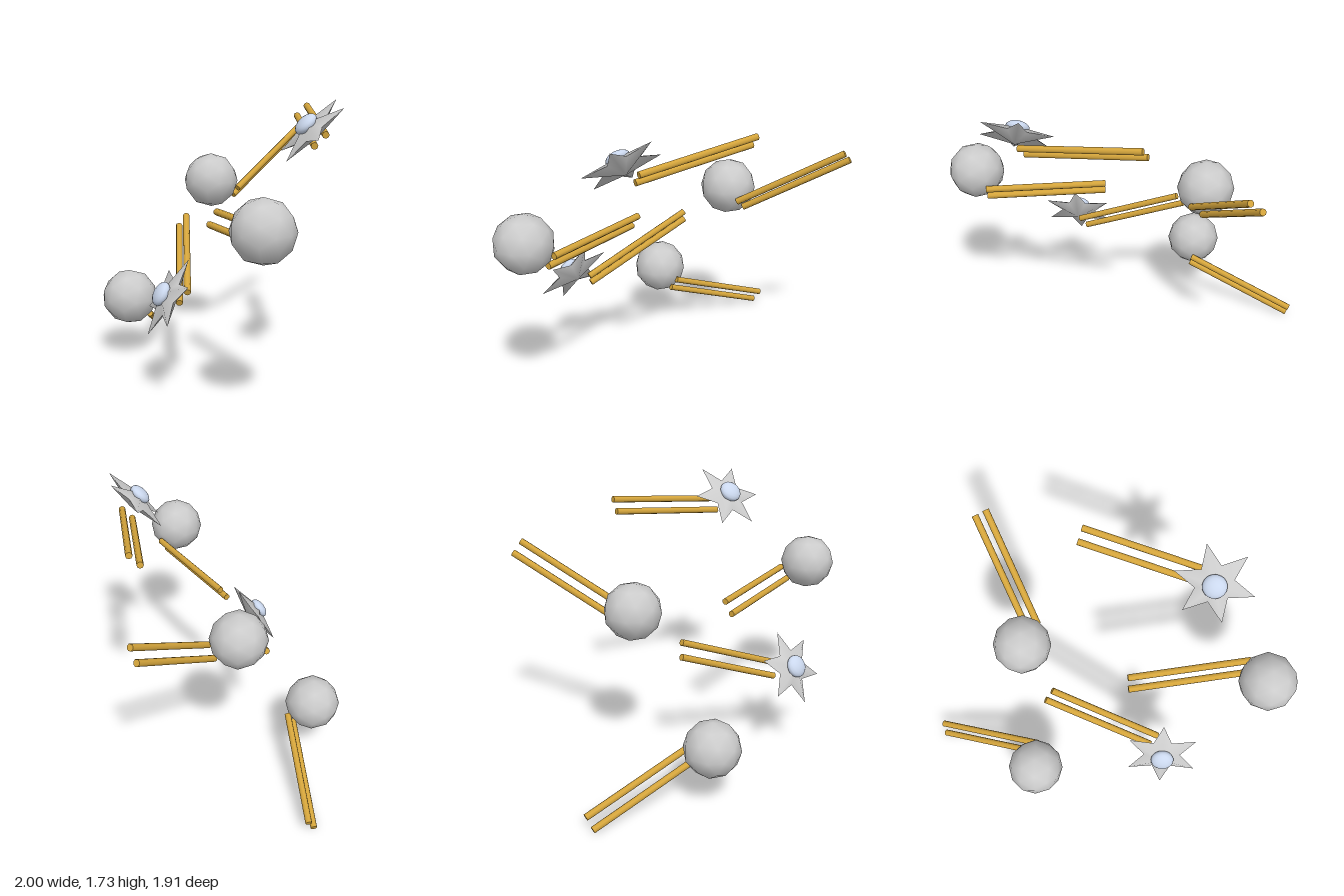
import * as THREE from 'three';

const grey = new THREE.MeshStandardMaterial({ color: 0xcccccc });
const gold = new THREE.MeshStandardMaterial({ color: 0xd6a63c });
const blue = new THREE.MeshStandardMaterial({ color: 0xcbd8ee });
const V = (a) => new THREE.Vector3(...a);

// Six-pointed star in the xy plane, ridged on both faces
function starGeometry(outer, inner, depth) {
  const pos = [], index = [], n = 12;
  for (const side of [1, -1]) {
    const base = pos.length / 3;
    pos.push(0, 0, side * depth);
    for (let i = 0; i < n; i++) {
      const r = i % 2 ? inner : outer, a = (i / n) * Math.PI * 2;
      pos.push(r * Math.cos(a), r * Math.sin(a), 0);
    }
    for (let i = 0; i < n; i++) {
      const p = base + 1 + i, q = base + 1 + ((i + 1) % n);
      if (side > 0) index.push(base, p, q);
      else index.push(base, q, p);
    }
  }
  const g = new THREE.BufferGeometry();
  g.setAttribute('position', new THREE.Float32BufferAttribute(pos, 3));
  g.setIndex(index);
  g.computeVertexNormals();
  return g;
}

const ballGeo = new THREE.IcosahedronGeometry(0.177, 1);
const starGeo = starGeometry(0.242, 0.115, 0.055);
const domeGeo = new THREE.SphereGeometry(0.072, 16, 12);
const rodGeo = new THREE.CylinderGeometry(0.021, 0.021, 1, 8);

function mesh(name, geo, mat) {
  const m = new THREE.Mesh(geo, mat);
  m.name = name;
  return m;
}

// Trail rod between two points
function rod(from, to) {
  const m = mesh('trailRod', rodGeo, gold);
  const d = to.clone().sub(from);
  m.position.copy(from).addScaledVector(d, 0.5);
  m.scale.y = d.length();
  m.quaternion.setFromUnitVectors(new THREE.Vector3(0, 1, 0), d.normalize());
  return m;
}

function ball(center) {
  const m = mesh('ball', ballGeo, grey);
  m.position.copy(V(center));
  return m;
}

// Star with a flattened dome on its front; tip1 and tip2 are neighbouring points
function star(center, tip1, tip2) {
  const g = new THREE.Group();
  g.name = 'star';
  const x = V(tip1).normalize();
  const z = x.clone().cross(V(tip2)).normalize();
  const y = z.clone().cross(x);
  g.quaternion.setFromRotationMatrix(new THREE.Matrix4().makeBasis(x, y, z));
  g.position.copy(V(center));
  const dome = mesh('dome', domeGeo, blue);
  dome.scale.z = 0.55;
  dome.position.z = 0.047;
  g.add(mesh('starBody', starGeo, grey), dome);
  return g;
}

export function createModel() {
  const model = new THREE.Group();
  model.name = 'flyingBallsAndStars';

  // Each flyer: head, far end and near end of the first rod, offset to the second
  const flyers = [
    { name: 'upperBall', head: ball([-0.335, 1.15, -0.167]),
      far: [-0.142, 1.47, -0.915], near: [-0.18, 1.1, -0.255], shift: [-0.063, -0.055, -0.03] },
    { name: 'leftBall', head: ball([0.82, 1.122, 0.78]),
      far: [0.122, 1.065, 0.318], near: [0.827, 1.065, 0.605], shift: [-0.02, -0.073, 0.045] },
    { name: 'lowerBall', head: ball([-0.585, 0.42, 0.365]),
      far: [-0.968, 0.1, -0.31], near: [-0.488, 0.365, 0.22], shift: [-0.016, -0.071, 0.045] },
    { name: 'upperStar', head: star([0.727, 1.582, 0.226], [0.206, 0.131, -0.002], [0.046, 0.16, -0.175]),
      far: [0.243, 1.652, -0.432], near: [0.755, 1.548, 0.125], shift: [-0.05, -0.062, 0.035] },
    { name: 'lowerStar', head: star([0.13, 0.64, 0.756], [0.21, 0.107, 0.059], [0.059, 0.203, -0.105]),
      far: [-0.3, 0.957, 0.122], near: [0.17, 0.648, 0.637], shift: [-0.054, -0.071, 0.01] },
  ];
  for (const f of flyers) {
    const g = new THREE.Group();
    g.name = f.name;
    const a = V(f.far), b = V(f.near), s = V(f.shift);
    g.add(f.head, rod(a, b), rod(a.clone().add(s), b.clone().add(s)));
    model.add(g);
  }
  return model;
}
